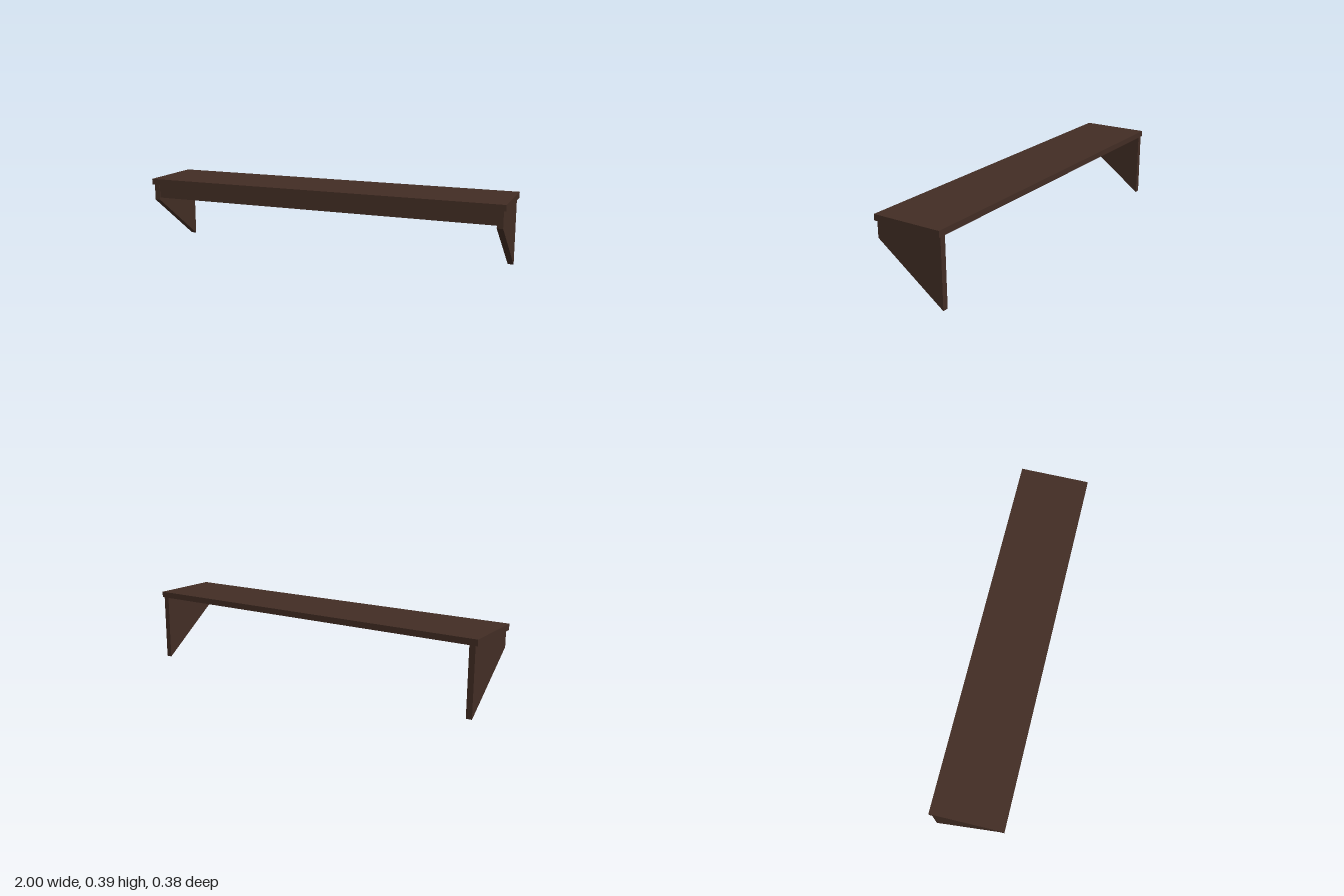
import * as THREE from 'three';

export function createModel() {
  const group = new THREE.Group();
  group.name = 'wallShelf';
  const wood = new THREE.MeshStandardMaterial({ color: 0x422d24 });
  wood.name = 'dark brown wood';

  const board = (name, w, h, d, y, z) => {
    const mesh = new THREE.Mesh(new THREE.BoxGeometry(w, h, d), wood);
    mesh.name = name;
    mesh.position.set(0, y, z);
    group.add(mesh);
  };

  // Shelf top and the front rail tucked under it
  board('shelfTop', 2, 0.032, 0.38, 0.376, 0);
  board('frontRail', 1.914, 0.075, 0.031, 0.3225, 0.164);

  // Tapered end brackets: profile drawn as (-z, y), extruded along x
  const profile = new THREE.Shape([
    new THREE.Vector2(0.187, 0),
    new THREE.Vector2(0.187, 0.36),
    new THREE.Vector2(-0.183, 0.36),
    new THREE.Vector2(-0.183, 0.272),
  ]);
  const thickness = 0.031;
  const bracketGeometry = new THREE.ExtrudeGeometry(profile, { depth: thickness, bevelEnabled: false });
  bracketGeometry.translate(0, 0, -thickness / 2);
  bracketGeometry.rotateY(Math.PI / 2);
  for (const [name, side] of [['leftBracket', 1], ['rightBracket', -1]]) {
    const bracket = new THREE.Mesh(bracketGeometry, wood);
    bracket.name = name;
    bracket.position.x = side * 0.9725;
    group.add(bracket);
  }
  return group;
}
